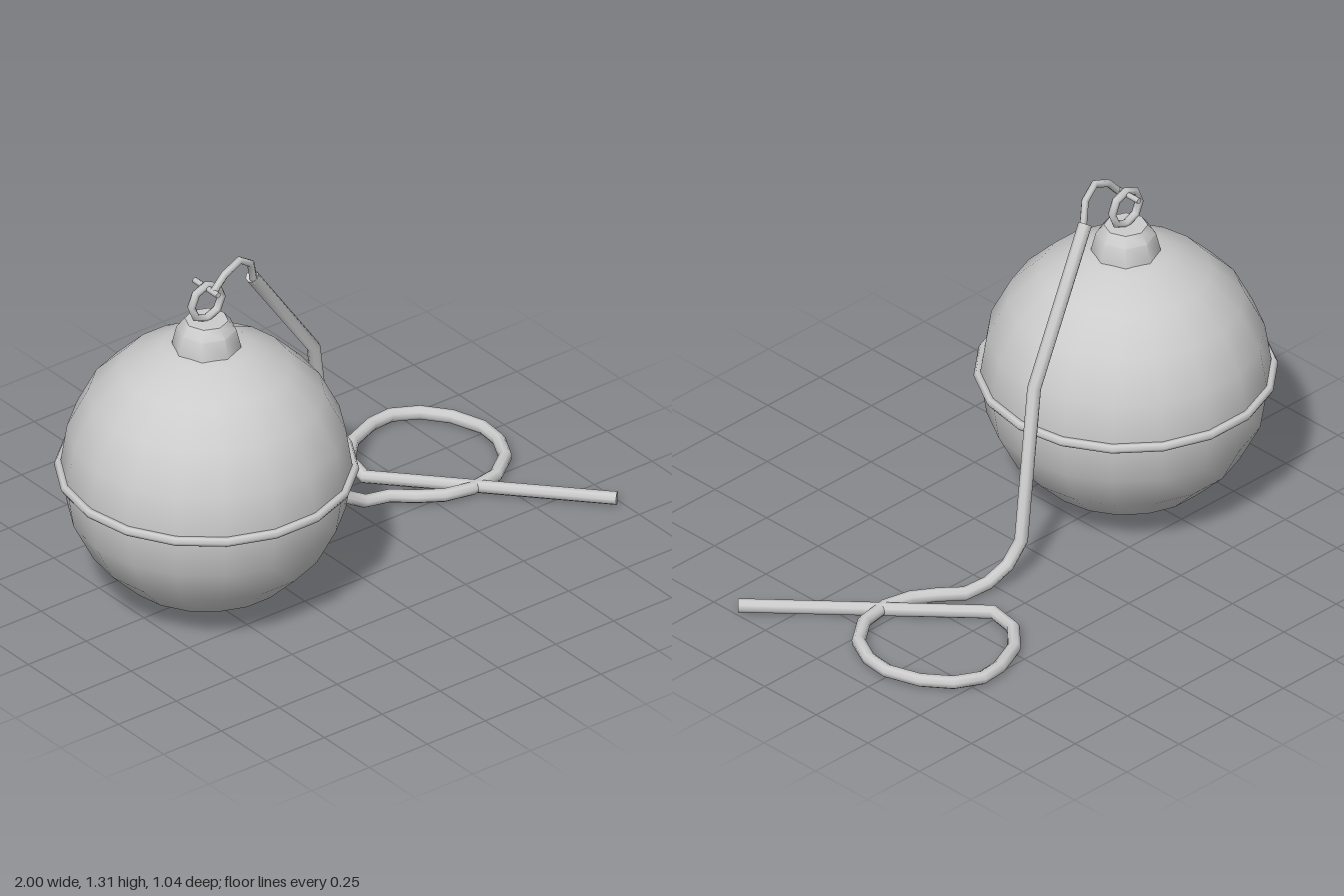
import * as THREE from 'three';
import { toCreasedNormals } from 'three/addons/utils/BufferGeometryUtils.js';

// Curve that passes straight through its points, with averaged tangents at the bends
class WirePath extends THREE.Curve {
  constructor(points) {
    super();
    this.points = points.map((p) => new THREE.Vector3(...p));
  }
  getPoint(t, target = new THREE.Vector3()) {
    const n = this.points.length - 1;
    const i = Math.min(Math.floor(t * n + 1e-6), n - 1);
    return target.lerpVectors(this.points[i], this.points[i + 1], t * n - i);
  }
  getPointAt(t, target) {
    return this.getPoint(t, target);
  }
  getTangentAt(t, target = new THREE.Vector3()) {
    const p = this.points, n = p.length - 1, i = Math.round(t * n);
    const unit = (a, b) => p[b].clone().sub(p[a]).normalize();
    target.set(0, 0, 0);
    if (i > 0) target.add(unit(i - 1, i));
    if (i < n) target.add(unit(i, i + 1));
    return target.normalize();
  }
}

export function createModel() {
  const group = new THREE.Group();
  const material = new THREE.MeshStandardMaterial({ color: 0xcccccc });
  const ballX = -0.48;

  function add(name, geometry, x = 0, y = 0, z = 0) {
    const mesh = new THREE.Mesh(geometry, material);
    mesh.name = name;
    mesh.position.set(x, y, z);
    group.add(mesh);
    return mesh;
  }

  // Bent wire with closed ends
  function addWire(name, points, radius, sides) {
    const path = new WirePath(points);
    const wire = add(name, new THREE.TubeGeometry(path, points.length - 1, radius, sides));
    for (const t of [0, 1]) {
      const cap = new THREE.Mesh(new THREE.CircleGeometry(radius, sides), material);
      const direction = path.getTangentAt(t).multiplyScalar(t ? 1 : -1);
      cap.name = name + 'End';
      cap.position.copy(path.getPoint(t));
      cap.quaternion.setFromUnitVectors(new THREE.Vector3(0, 0, 1), direction);
      wire.add(cap);
    }
  }

  // Ball with a raised seam around its middle
  add('ball', new THREE.SphereGeometry(0.5, 18, 10), ballX, 0.51, 0);
  add('seam', new THREE.TorusGeometry(0.504, 0.017, 6, 18), ballX, 0.51, 0).rotation.x = Math.PI / 2;

  // Faceted collar on top
  const collarProfile = [[0.12, 0.98], [0.118, 1.0], [0.103, 1.06], [0.075, 1.095], [0, 1.098]]
    .map(([r, y]) => new THREE.Vector2(r, y));
  add('collar', toCreasedNormals(new THREE.LatheGeometry(collarProfile, 8), 0.8), ballX, 0, 0);

  // Eyelet and the cross pin through it
  add('eyelet', new THREE.TorusGeometry(0.065, 0.015, 6, 8), ballX, 1.165, 0);
  add('crossPin', new THREE.CylinderGeometry(0.011, 0.011, 0.13, 6), ballX, 1.22, 0).rotation.x = Math.PI / 2;

  // Thin hook joining the eyelet to the arm
  addWire('hook', [
    [-0.48, 1.215, 0.035], [-0.43, 1.27, 0.035], [-0.36, 1.3, 0.03],
    [-0.305, 1.262, 0.02], [-0.275, 1.17, 0],
  ], 0.014, 6);

  // Arm runs down to the floor, curls into a loop and ends in a straight tail
  const floorY = 0.03;
  const arm = [
    [-0.28, 1.19, -0.005], [0.068, 0.73, -0.11], [0.15, 0.16, -0.13],
    [0.205, 0.08, -0.12], [0.285, 0.037, -0.105], [0.38, floorY, -0.09],
  ];
  const loop = [
    [0.45, -0.03], [0.53, 0.022], [0.63, 0.045], [0.75, 0.025], [0.85, -0.05],
    [0.9, -0.15], [0.91, -0.25], [0.87, -0.37], [0.8, -0.46], [0.71, -0.508],
    [0.62, -0.5], [0.5, -0.45], [0.415, -0.36], [0.392, -0.24], [0.982, 0.4],
  ].map(([x, z]) => [x, floorY, z]);
  addWire('wireArm', [...arm, ...loop], 0.024, 8);

  return group;
}
